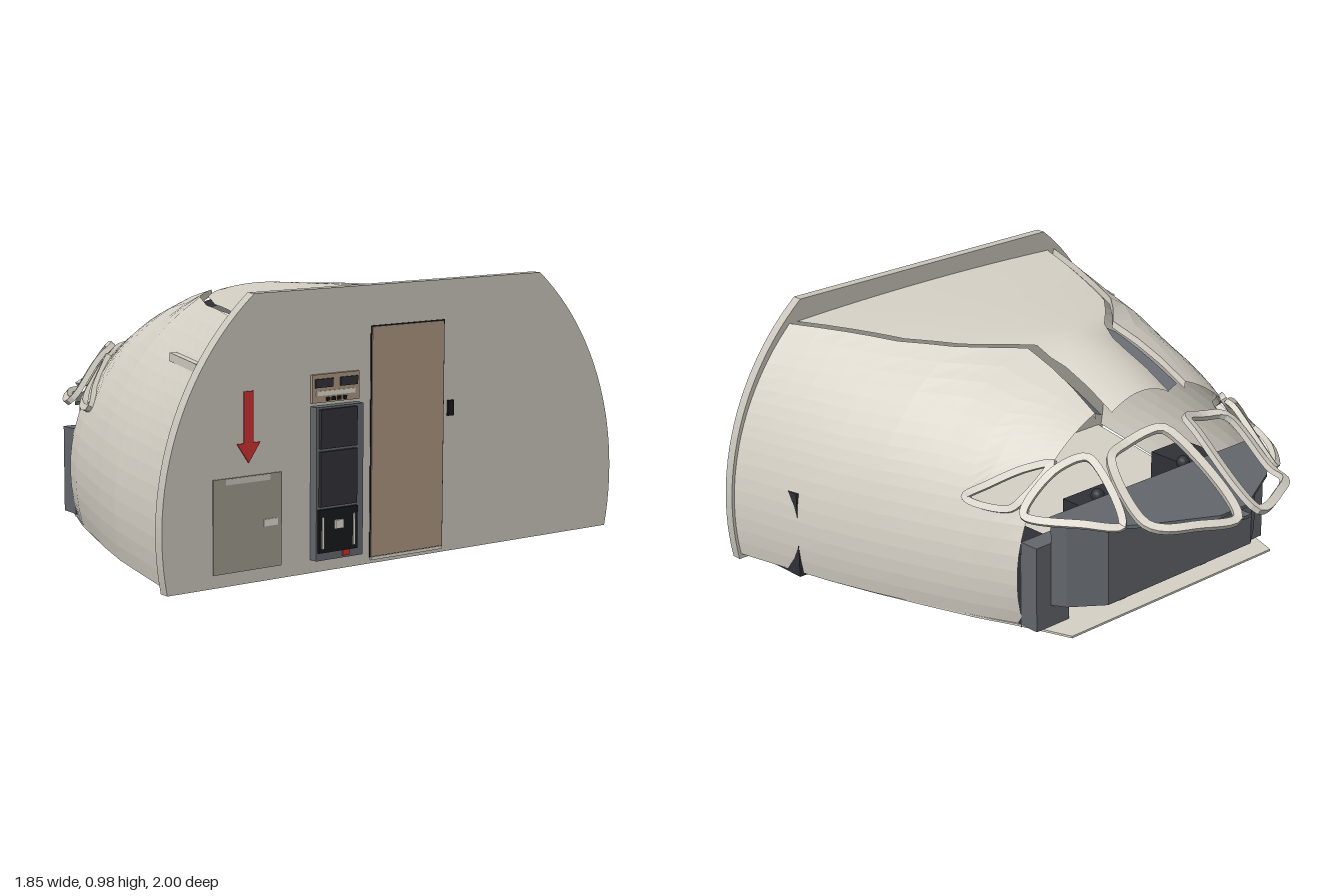
import * as THREE from 'three';

const mat = (name, color, side = THREE.FrontSide) => {
  const m = new THREE.MeshStandardMaterial({ color, side });
  m.name = name;
  return m;
};

// piecewise linear lookup
const table = (rows) => (x) => {
  if (x <= rows[0][0]) return rows[0][1];
  for (let i = 1; i < rows.length; i++) {
    const [x0, a] = rows[i - 1], [x1, b] = rows[i];
    if (x <= x1) return a + (b - a) * (x - x0) / (x1 - x0);
  }
  return rows[rows.length - 1][1];
};

// hull half width, hull arch height, upper wall edge, ceiling edge, window top
const W = table([[-0.37, 0.62], [-0.2, 0.695], [0, 0.767], [0.2, 0.835], [0.4, 0.895], [0.6, 0.94], [0.83, 0.99]]);
const B = table([[-0.37, 0.585], [-0.25, 0.643], [-0.12, 0.69], [0, 0.72], [0.2, 0.79], [0.4, 0.835], [0.83, 0.963]]);
const wallEdge = table([[-0.37, 0.235], [0, 0.22], [0.1, 0.32], [0.2, 0.405], [0.4, 0.51], [0.83, 0.69]]);
const roofEdge = table([[-0.37, 0.15], [-0.1, 0.15], [0, 0.175], [0.1, 0.28], [0.2, 0.37], [0.4, 0.475], [0.83, 0.655]]);
const crown = table([[-0.37, 0.765], [-0.25, 0.82], [-0.12, 0.87], [0, 0.905], [0.83, 0.905]]);
const winTop = table([[-0.37, 0.62], [-0.3, 0.6], [-0.2, 0.53], [-0.13, 0.46], [0.83, 0.46]]);
const hullZ = (x, y) => W(x) * Math.sqrt(Math.max(0, 1 - ((y - 0.2) / B(x)) ** 2));
const wallTop = (x) => Math.min(crown(x) - 0.012, 0.2 + B(x) * Math.sqrt(1 - (wallEdge(x) / W(x)) ** 2));

const XS = [-0.37, -0.3, -0.25, -0.2, -0.13, -0.06, 0, 0.05, 0.1, 0.2, 0.3, 0.4, 0.5, 0.6, 0.7, 0.83];

// grid of points p(i, j) turned into a faceted or smooth surface
function grid(nu, nv, p, smooth = false) {
  const pos = [], idx = [];
  for (let i = 0; i <= nu; i++) for (let j = 0; j <= nv; j++) pos.push(...p(i, j));
  for (let i = 0; i < nu; i++) for (let j = 0; j < nv; j++) {
    const a = i * (nv + 1) + j, b = a + nv + 1;
    idx.push(a, b, a + 1, b, b + 1, a + 1);
  }
  let g = new THREE.BufferGeometry();
  g.setAttribute('position', new THREE.Float32BufferAttribute(pos, 3));
  g.setIndex(idx);
  if (!smooth) g = g.toNonIndexed();
  g.computeVertexNormals();
  return g;
}

// closed rectangular bar following a rounded loop of points
function frameGeometry(points, width, thick) {
  const curve = new THREE.CatmullRomCurve3(points.map((p) => new THREE.Vector3(...p)), true, 'centripetal');
  const n = 44, ring = curve.getSpacedPoints(n);
  const c = new THREE.Vector3(), normal = new THREE.Vector3();
  for (let i = 0; i < n; i++) c.addScaledVector(ring[i], 1 / n);
  for (let i = 0; i < n; i++) normal.add(ring[i].clone().sub(c).cross(ring[i + 1].clone().sub(c)));
  normal.normalize();
  const corners = [[0, -1], [0, 1], [1, 1], [1, -1], [0, -1]];
  return grid(n, 4, (i, j) => {
    const p = ring[i % n];
    const tangent = ring[(i + 1) % n].clone().sub(ring[(i + n - 1) % n]).normalize();
    const inward = normal.clone().cross(tangent).normalize();
    const [a, b] = corners[j];
    return p.clone().addScaledVector(inward, a * width).addScaledVector(normal, b * thick / 2).toArray();
  });
}

// flat horizontal plate from the (x, z) outline of one half, mirrored in z
function plate(half, y, thick) {
  const pts = [...half, ...half.slice().reverse().map(([x, z]) => [x, -z])];
  const shape = new THREE.Shape(pts.map(([x, z]) => new THREE.Vector2(x, z)));
  return new THREE.ExtrudeGeometry(shape, { depth: thick, bevelEnabled: false })
    .rotateX(Math.PI / 2).translate(0, y + thick, 0);
}

export function createModel() {
  const root = new THREE.Group();
  root.name = 'cockpitSection';
  const shell = mat('shell beige', 0xd6d1c6, THREE.DoubleSide);
  const wall = mat('bulkhead grey', 0xc9c5bb);
  const hatchMat = mat('hatch grey', 0x9c998c);
  const tan = mat('door tan', 0xac957f);
  const grey = mat('panel grey', 0x63676d);
  const dark = mat('equipment dark', 0x303137);
  const black = mat('trim black', 0x18191c);
  const red = mat('signal red', 0xc93232);
  const pale = mat('pale trim', 0xdedace);

  const add = (name, geo, m) => {
    const mesh = new THREE.Mesh(geo, m);
    mesh.name = name;
    root.add(mesh);
    return mesh;
  };
  // box given by its min and max on each axis
  const box = (name, m, x0, x1, y0, y1, z0, z1) => add(name,
    new THREE.BoxGeometry(x1 - x0, y1 - y0, z1 - z0)
      .translate((x0 + x1) / 2, (y0 + y1) / 2, (z0 + z1) / 2), m);

  // rear bulkhead: arc sides, flat top and bottom
  const half = [];
  for (let i = 0; i <= 24; i++) {
    const a = -0.2014 + (0.887 + 0.2014) * i / 24;
    half.push(new THREE.Vector2(Math.cos(a), 0.2 + Math.sin(a)));
  }
  const profile = [...half, ...half.slice().reverse().map((p) => new THREE.Vector2(-p.x, p.y))];
  add('bulkhead', new THREE.ExtrudeGeometry(new THREE.Shape(profile), { depth: 0.04, bevelEnabled: false })
    .rotateY(Math.PI / 2).translate(0.825, 0, 0), wall);

  // hull walls, in a strip below and a strip above the side window
  const nx = XS.length - 1;
  for (const s of [1, -1]) {
    const strip = (lo, hi, rows) => grid(nx, rows, (i, j) => {
      const x = XS[i], y = lo(x) + (hi(x) - lo(x)) * j / rows;
      return [x, y, s * hullZ(x, y)];
    });
    add('lowerWall', strip(() => 0.02, () => 0.46, 8), shell);
    add('upperWall', strip(winTop, wallTop, 10), shell);
    // thin lip along the upper wall edge
    add('wallLip', grid(nx, 1, (i, j) => {
      const x = XS[i], y = wallTop(x);
      return [x, y - j * 0.025, s * (hullZ(x, y) - j * 0.006)];
    }), shell);

    // window frames
    const m = (pts) => pts.map(([x, y, z]) => [x, y, z * s]);
    add('frontWindowFrame', frameGeometry(m([[-0.92, 0.445, 0.045], [-0.87, 0.445, 0.23], [-0.8, 0.445, 0.335],
      [-0.71, 0.46, 0.355], [-0.51, 0.63, 0.315], [-0.475, 0.655, 0.2], [-0.525, 0.695, 0.06],
      [-0.6, 0.67, 0.035]]), 0.032, 0.022), shell);
    add('cornerWindowFrame', frameGeometry(m([[-0.69, 0.445, 0.395], [-0.58, 0.445, 0.51], [-0.39, 0.45, 0.615],
      [-0.365, 0.48, 0.595], [-0.395, 0.605, 0.475], [-0.45, 0.65, 0.375], [-0.5, 0.645, 0.36]]), 0.028, 0.022), shell);
    add('sideWindowFrame', frameGeometry([[-0.38, 0.62], [-0.3, 0.6], [-0.2, 0.535], [-0.13, 0.478], [-0.15, 0.455],
      [-0.31, 0.445], [-0.345, 0.48]].map(([x, y]) => [x, y, s * (hullZ(x, y) + 0.006)]), 0.026, 0.025), shell);

    // consoles, control columns and overhead side strips
    const zs = (a, b) => (s > 0 ? [a, b] : [-b, -a]);
    box('sideConsole', dark, -0.37, -0.02, 0.012, 0.3, ...zs(0.42, 0.6));
    box('frontSidePedestal', grey, -0.45, -0.37, 0.022, 0.35, ...zs(0.44, 0.6));
    add('controlColumn', new THREE.CylinderGeometry(0.012, 0.02, 0.4, 12).translate(-0.37, 0.21, s * 0.225), dark);
    add('controlGrip', new THREE.SphereGeometry(0.026, 14, 10).translate(-0.375, 0.42, s * 0.225), dark);
    add('overheadStrip', grid(6, 1, (i, j) => {
      const x = -0.34 + 0.065 * i;
      return [x, crown(x) - 0.05 - 0.02 * (s > 0 ? j : 1 - j), s * (0.17 + 0.05 * (s > 0 ? 1 - j : j))];
    }), mat0(grey));
    box('pedalBracket', shell, -0.5, -0.475, 0.04, 0.1, ...zs(0.2, 0.23));
  }

  // ceiling panel
  add('ceiling', grid(nx, 16, (i, j) => {
    const x = XS[i], t = j / 8 - 1;
    const drop = crown(x) - Math.min(crown(x) - 0.012, wallTop(x));
    return [x, crown(x) - (drop + (x < 0 ? 0.02 : 0)) * t * t, -t * roofEdge(x)];
  }, true), shell);

  // floor running out past the walls to a straight front edge
  add('floor', plate([...XS.slice().reverse().map((x) => [x, W(x) * 0.965]), [-0.56, 0.53]], 0.014, 0.008), shell);
  box('rearConsole', dark, 0.52, 0.82, 0.01, 0.35, -0.92, -0.72);
  box('centrePedestal', dark, -0.38, -0.08, 0.01, 0.28, -0.12, 0.12);
  box('pedestalFront', grey, -0.45, -0.36, 0.022, 0.35, -0.1, 0.1);

  // instrument panel and glare shield
  add('instrumentPanel', plate([[-0.45, 0.53], [-0.5, 0.5], [-0.59, 0.38]], 0.105, 0.325), grey);
  add('glareShield', plate([[-0.43, 0.56], [-0.6, 0.45], [-0.7, 0.335], [-0.84, 0.07], [-0.84, 0.02], [-0.905, 0.02]],
    0.43, 0.012), grey);

  // ledge on the left hull side
  const ledge = box('hullLedge', shell, -0.155, 0.155, -0.015, 0.015, -0.012, 0.012);
  ledge.position.set(0.67, 0.735, 0.775);
  ledge.rotation.y = -Math.atan2(0.09, 0.3);

  // door on the bulkhead
  const f = 0.865;
  box('doorSeal', black, f, f + 0.002, 0.022, 0.835, -0.184, 0.144);
  box('door', tan, f, f + 0.005, 0.025, 0.83, -0.179, 0.139);
  box('doorSill', pale, f, f + 0.006, 0.012, 0.023, -0.18, 0.14);
  box('doorLock', black, f, f + 0.008, 0.49, 0.545, -0.226, -0.2);

  // storage hatch
  box('hatch', hatchMat, f, f + 0.004, 0.045, 0.367, 0.522, 0.8);
  box('hatchPlate', wall, f, f + 0.006, 0.345, 0.365, 0.57, 0.75);
  box('hatchHandle', pale, f, f + 0.007, 0.188, 0.212, 0.54, 0.598);

  // red arrow
  const arrow = new THREE.Shape([[0, 0.41], [0.047, 0.478], [0.019, 0.478], [0.019, 0.652], [-0.019, 0.652],
    [-0.019, 0.478], [-0.047, 0.478]].map((p) => new THREE.Vector2(...p)));
  add('arrow', new THREE.ExtrudeGeometry(arrow, { depth: 0.004, bevelEnabled: false })
    .rotateY(Math.PI / 2).translate(f, 0, 0.657), red);

  // folding seat rack with pads
  box('rack', grey, f, 0.9, 0.047, 0.577, 0.2, 0.4);
  for (const [y0, y1] of [[0.435, 0.57], [0.235, 0.425]]) box('rackPad', dark, 0.9, 0.913, y0, y1, 0.235, 0.39);
  box('rackBase', black, 0.9, 0.91, 0.075, 0.225, 0.23, 0.395);
  for (const z of [0.243, 0.376]) box('rackRail', pale, 0.91, 0.915, 0.09, 0.2, z, z + 0.008);
  box('rackBuckle', pale, 0.91, 0.918, 0.155, 0.185, 0.295, 0.33);
  box('rackTag', red, 0.9, 0.906, 0.055, 0.075, 0.262, 0.29);

  // control panel above the rack
  box('controlPanel', tan, f, 0.877, 0.588, 0.685, 0.2, 0.4);
  for (const z of [0.21, 0.315]) box('display', dark, 0.877, 0.882, 0.64, 0.67, z, z + 0.075);
  box('switchStrip', pale, 0.877, 0.88, 0.612, 0.628, 0.22, 0.385);
  for (let i = 0; i < 4; i++) box('switch', black, 0.877, 0.886, 0.594, 0.606, 0.26 + i * 0.024, 0.272 + i * 0.024);
  return root;
}

// double sided copy kept for open strips
const copies = new Map();
function mat0(m) {
  if (!copies.has(m.name)) copies.set(m.name, mat(m.name, m.color.getHex(), THREE.DoubleSide));
  return copies.get(m.name);
}
